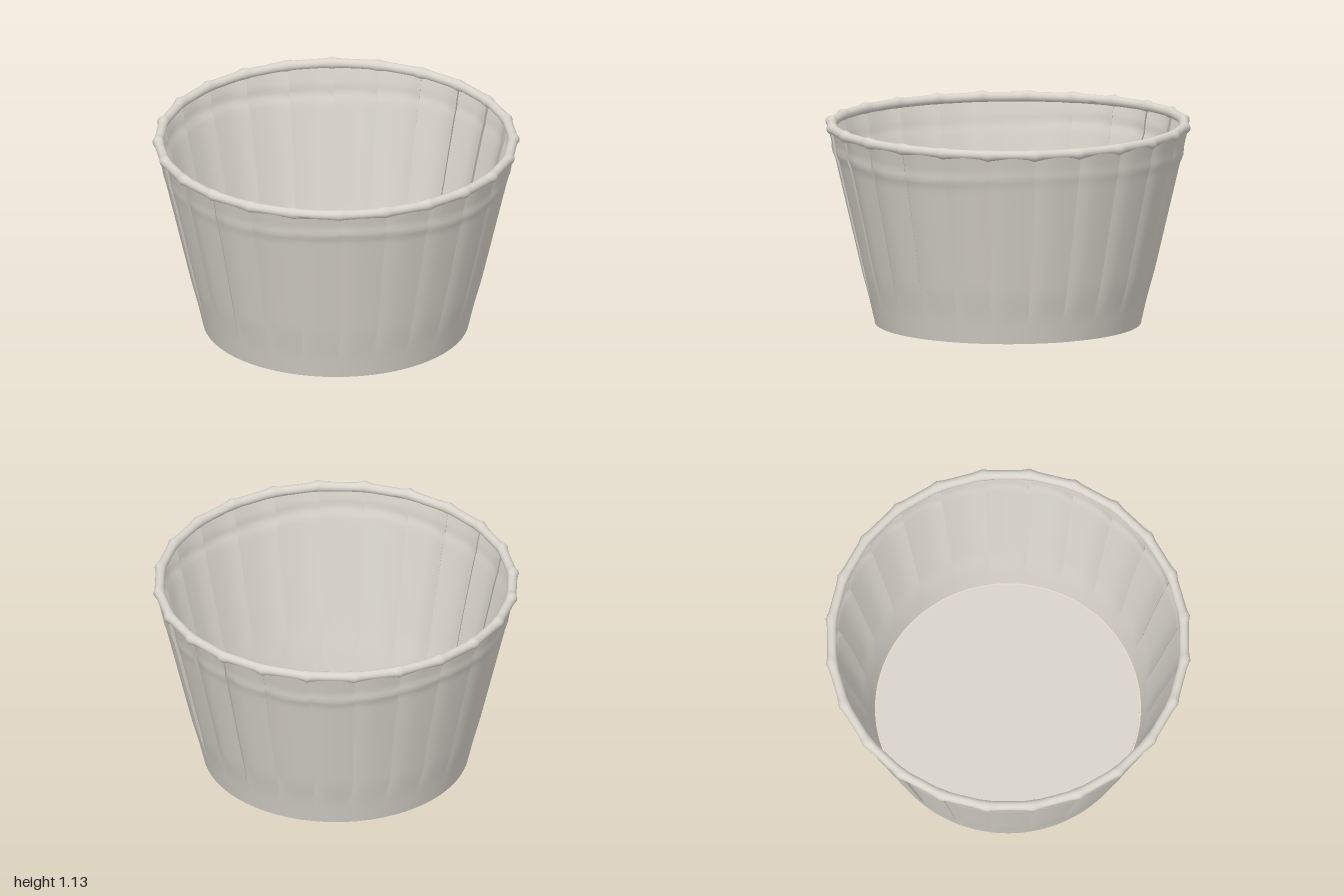
import * as THREE from 'three';
import { toCreasedNormals } from 'three/addons/utils/BufferGeometryUtils.js';

const PLEATS = 24, STEP = (Math.PI * 2) / PLEATS, FIRST = -0.09;
const COLS = 10; // columns per pleat, the last one closes the fold
const HEIGHT = 1.085;

// Small repeatable variation per pleat, -1..1
const vary = (i, s) => Math.sin(((i + PLEATS) % PLEATS) * 12.9 + s * 4.7);
const smooth = THREE.MathUtils.smoothstep;

// Smooth wavy crease that runs around the wall under the rim
const creaseHeight = (a) => 0.945 + 0.014 * Math.sin(3 * a + 1.2) + 0.008 * Math.sin(5 * a);

function wallPoint(col, y) {
  const pleat = Math.floor(col / COLS), c = col % COLS;
  const t = c / (COLS - 1);
  const fade = smooth(y, 0.1, 0.32);
  const depth = fade * (0.02 + 0.005 * vary(pleat, 1)) * (0.6 + 0.4 * y);
  // Each pleat rises quickly from its seam, then folds over the next one
  const rise = Math.sin(Math.min(t / 0.45, 1) * Math.PI / 2);
  const overlap = 0.012 * fade * (t - 0.5);
  const bend = 0.012 * (1 - smooth(y, 0.15, 0.6)) * vary(pleat + (t > 0.5 ? 1 : 0), 2) * fade;
  const a = FIRST + (pleat + t) * STEP + overlap + bend * Math.abs(2 * t - 1);
  const d = (y - creaseHeight(a)) / 0.028;
  const crease = 0.009 * Math.exp(-d * d) * (0.7 + 0.3 * Math.sin(2 * a + 0.6));
  const r = 0.727 + 0.229 * y + depth * (rise - 0.5) + crease;
  return [Math.sin(a) * r, y, Math.cos(a) * r];
}

function makeWall() {
  const cols = PLEATS * COLS, rows = 48;
  const geo = new THREE.PlaneGeometry(1, 1, cols, rows);
  const pos = geo.attributes.position;
  for (let i = 0; i < pos.count; i++) {
    const col = (i % (cols + 1)) % cols;
    const y = HEIGHT * (1 - Math.floor(i / (cols + 1)) / rows);
    pos.setXYZ(i, ...wallPoint(col, y));
  }
  return toCreasedNormals(geo, 0.6);
}

// Rolled rim: nearly straight lengths with a small knuckle at every seam
function makeRim() {
  const segs = PLEATS * 12, sides = 14;
  const geo = new THREE.TorusGeometry(1, 0.1, sides, segs);
  const pos = geo.attributes.position;
  for (let i = 0; i < pos.count; i++) {
    const k = i % (segs + 1), j = Math.floor(i / (segs + 1));
    const a = FIRST + (k / segs) * Math.PI * 2;
    const pleat = Math.round(k / 12);
    const off = (k / 12 - pleat) * STEP;
    const knuckle = Math.exp(-((off / 0.026) ** 2));
    const mid = STEP / 2 - Math.abs(off);
    const chord = Math.cos(STEP / 2) / Math.cos(mid);
    const tube = 0.0265 + 0.006 * knuckle;
    const v = (j / sides) * Math.PI * 2;
    const r = 0.971 * chord + 0.001 * knuckle - Math.cos(v) * tube;
    const y = 1.09 + 0.005 * Math.sin(2 * a + 1) - 0.003 * Math.cos(a)
      + 0.004 * knuckle * vary(pleat, 3) + Math.sin(v) * tube;
    pos.setXYZ(i, Math.sin(a) * r, y, Math.cos(a) * r);
  }
  geo.computeVertexNormals();
  return toCreasedNormals(geo, 1.2);
}

export function createModel() {
  const paper = new THREE.MeshStandardMaterial({ color: 0xd8d4cb, side: THREE.DoubleSide });
  paper.name = 'warm grey paper';
  const group = new THREE.Group();
  group.name = 'pleatedCup';

  const add = (name, geometry) => {
    const mesh = new THREE.Mesh(geometry, paper);
    mesh.name = name;
    group.add(mesh);
    return mesh;
  };
  add('pleatedWall', makeWall());
  add('rolledRim', makeRim());
  // Thin floor, leaving a hairline gap to the wall
  add('floor', new THREE.CylinderGeometry(0.718, 0.718, 0.008, 96)).position.y = 0.004;
  return group;
}
